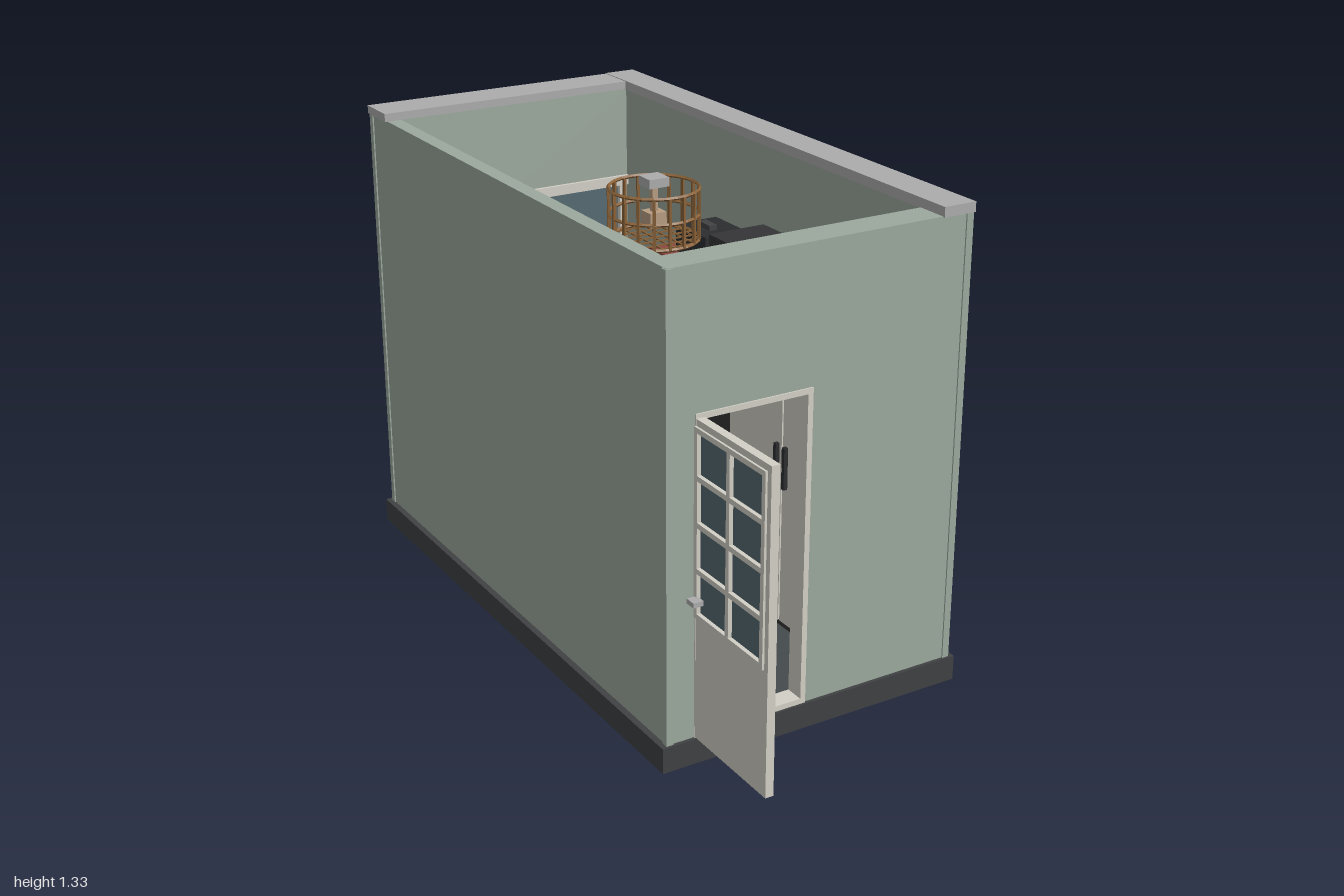
import * as THREE from 'three';

const C = {
  wall: 0x9ca99e, base: 0x3f4142, cap: 0xacacac, cream: 0xd3d0c6, glass: 0x566a72, sofa: 0x424244,
  tan: 0xb89d82, grey: 0x77777c, cloth: 0xb4b4b0, red: 0x8c4640, green: 0x3f8055, black: 0x2b2d2f,
  blue: 0x3d5a7d, amber: 0x8a6238, floorA: 0x454b4c, floorB: 0x3d4444, clay: 0xb07a5c, wardrobe: 0x343537,
};
const mats = {};
const mat = (c) => (mats[c] ??= new THREE.MeshStandardMaterial({ color: c, flatShading: true }));

export function createModel() {
  const root = new THREE.Group();
  root.name = 'smallOffice';
  const group = (name) => {
    const g = new THREE.Group();
    g.name = name;
    root.add(g);
    return g;
  };
  // box given by its limits on each axis
  const box = (parent, name, color, x0, x1, y0, y1, z0, z1) => {
    const m = new THREE.Mesh(new THREE.BoxGeometry(x1 - x0, y1 - y0, z1 - z0), mat(color));
    m.position.set((x0 + x1) / 2, (y0 + y1) / 2, (z0 + z1) / 2);
    m.name = name;
    parent.add(m);
    return m;
  };
  // wall in the xy plane with one rectangular opening
  const holedWall = (parent, name, hx0, hx1, hy0, hy1, z0, z1) => {
    const s = new THREE.Shape([[-0.432, 0.07], [0.432, 0.07], [0.432, 1.3], [-0.432, 1.3]].map((p) => new THREE.Vector2(...p)));
    s.holes.push(new THREE.Path([[hx0, hy0], [hx0, hy1], [hx1, hy1], [hx1, hy0]].map((p) => new THREE.Vector2(...p))));
    const m = new THREE.Mesh(new THREE.ExtrudeGeometry(s, { depth: z1 - z0, bevelEnabled: false }), mat(C.wall));
    m.position.z = z0;
    m.name = name;
    parent.add(m);
  };

  // base slab and floor planks
  const shell = group('shell');
  box(shell, 'baseSlab', C.base, -0.45, 0.45, 0, 0.07, -1, 0.69);
  for (let i = 0; i < 8; i++) {
    const z = -0.94 + i * 0.2;
    const split = i % 2 ? 0.12 : -0.12;
    const end = Math.min(z + 0.198, 0.64);
    box(shell, 'floorPlank', i % 2 ? C.floorA : C.floorB, -0.39, split - 0.001, 0.07, 0.078, z, end);
    box(shell, 'floorPlank', i % 2 ? C.floorB : C.floorA, split + 0.001, 0.39, 0.07, 0.078, z, end);
  }

  // walls, corner posts, baseboards, roof edge
  box(shell, 'rightSideWall', C.wall, -0.432, -0.39, 0.07, 1.3, -0.94, 0.635);
  box(shell, 'leftSideWall', C.wall, 0.39, 0.432, 0.07, 1.3, -0.94, 0.635);
  holedWall(shell, 'frontWall', -0.353, -0.025, 0.071, 0.933, 0.635, 0.68);
  holedWall(shell, 'backWall', -0.04, 0.38, 0.44, 0.995, -0.983, -0.94);
  box(shell, 'frontBeam', C.wall, -0.39, 0.39, 1.2, 1.3, 0.59, 0.635);
  for (const sx of [-1, 1]) {
    for (const z of [-0.976, 0.674]) {
      const p = box(shell, 'cornerPost', C.wall, -0.01, 0.01, 0.07, 1.299, -0.01, 0.01);
      p.position.x = sx * 0.426;
      p.position.z = z;
    }
    box(shell, 'baseboard', C.cream, sx > 0 ? 0.382 : -0.39, sx > 0 ? 0.39 : -0.382, 0.078, 0.11, -0.94, 0.635);
  }
  box(shell, 'backRoofEdge', C.cap, -0.44, 0.345, 1.3, 1.323, -0.987, -0.865);
  box(shell, 'sideRoofEdge', C.cap, 0.345, 0.44, 1.298, 1.325, -0.987, 0.685);

  // back window
  const win = group('backWindow');
  box(win, 'windowGlass', C.glass, -0.04, 0.38, 0.44, 0.995, -0.958, -0.95);
  box(win, 'windowSill', C.cream, -0.04, 0.38, 0.44, 0.46, -0.986, -0.935);
  box(win, 'windowJamb', C.cream, 0.362, 0.38, 0.46, 0.995, -0.982, -0.935);
  box(win, 'innerTrim', C.cream, -0.07, -0.04, 0.42, 1.0, -0.94, -0.93);
  box(win, 'innerTrim', C.cream, -0.07, 0.39, 0.98, 1.01, -0.94, -0.93);

  // door frame and open door
  const door = group('door');
  box(door, 'frameSide', C.cream, -0.355, -0.34, 0.075, 0.935, 0.63, 0.684);
  box(door, 'frameSide', C.cream, -0.04, -0.025, 0.075, 0.935, 0.63, 0.684);
  box(door, 'frameTop', C.cream, -0.355, -0.025, 0.92, 0.935, 0.63, 0.684);
  box(door, 'threshold', C.cream, -0.355, -0.025, 0.07, 0.085, 0.63, 0.684);
  box(door, 'doorPanel', C.cream, -0.355, -0.332, 0.073, 0.41, 0.685, 1);
  box(door, 'doorGlass', C.glass, -0.35, -0.334, 0.41, 0.905, 0.685, 0.975);
  box(door, 'doorTopRail', C.cream, -0.355, -0.332, 0.905, 0.925, 0.685, 1);
  box(door, 'doorStile', C.cream, -0.355, -0.332, 0.41, 0.905, 0.975, 1);
  for (let i = 0; i < 5; i++) {
    const y = 0.41 + i * 0.121;
    box(door, 'glazingBar', C.cream, -0.361, -0.349, y, y + 0.014, 0.685, 0.985);
  }
  for (const z of [0.685, 0.825, 0.971]) box(door, 'glazingBar', C.cream, -0.361, -0.349, 0.41, 0.905, z, z + 0.014);
  box(door, 'handle', C.cap, -0.383, -0.355, 0.455, 0.468, 0.69, 0.722);

  // sofa
  const sofa = group('sofa');
  box(sofa, 'sofaBase', C.sofa, -0.38, -0.1, 0.085, 0.215, -0.32, 0.38);
  box(sofa, 'sofaBack', C.sofa, -0.39, -0.335, 0.085, 0.58, -0.32, 0.385);
  for (const z of [-0.33, 0.335]) box(sofa, 'sofaArm', C.sofa, -0.385, -0.093, 0.215, 0.43, z, z + 0.055);
  for (const z of [-0.272, 0.034]) box(sofa, 'seatCushion', C.sofa, -0.335, -0.095, 0.215, 0.29, z, z + 0.298);
  for (const z of [-0.272, 0.034]) box(sofa, 'backCushion', C.sofa, -0.335, -0.24, 0.29, 0.5, z, z + 0.298);
  box(sofa, 'greyThrow', C.grey, -0.24, -0.055, 0.26, 0.3, -0.2, 0);
  box(sofa, 'blanketBottom', C.cloth, -0.24, -0.055, 0.29, 0.335, 0.075, 0.255);
  box(sofa, 'blanketTop', C.cloth, -0.238, -0.057, 0.335, 0.365, 0.11, 0.22);

  // desk with two screens
  const desk = group('desk');
  box(desk, 'deskTop', C.tan, -0.31, 0.32, 0.385, 0.41, -0.925, -0.615);
  for (const x of [-0.3, 0.285]) for (const z of [-0.915, -0.65]) box(desk, 'deskLeg', C.black, x, x + 0.025, 0.075, 0.385, z, z + 0.025);
  for (const x of [-0.183, 0.06]) {
    box(desk, 'screenFoot', C.black, x - 0.04, x + 0.04, 0.41, 0.417, -0.86, -0.81);
    box(desk, 'screenStem', C.black, x - 0.008, x + 0.008, 0.417, 0.53, -0.855, -0.842);
    box(desk, 'screenCase', C.black, x - 0.118, x + 0.118, 0.453, 0.605, -0.845, -0.833);
    box(desk, 'screen', C.blue, x - 0.112, x + 0.112, 0.461, 0.596, -0.834, -0.831);
  }

  // office chair facing the desk
  const chair = group('chair');
  box(chair, 'chairSeat', C.grey, -0.155, 0.05, 0.25, 0.29, -0.57, -0.38);
  box(chair, 'chairBack', C.grey, -0.155, 0.05, 0.29, 0.613, -0.39, -0.36);
  for (const x of [-0.168, 0.05]) {
    box(chair, 'armrest', C.grey, x, x + 0.013, 0.36, 0.378, -0.53, -0.38);
    box(chair, 'armrestPost', C.grey, x, x + 0.013, 0.26, 0.36, -0.48, -0.46);
  }
  box(chair, 'chairPost', C.black, -0.065, -0.04, 0.1, 0.25, -0.48, -0.455);
  for (const a of [0, Math.PI / 2]) {
    box(chair, 'chairFoot', C.black, -0.145, 0.04, 0.08, 0.1, -0.477, -0.458).rotation.y = a;
  }

  // wall shelves with books and plant
  const shelf = group('wallShelves');
  for (const y of [0.385, 0.51, 0.636]) box(shelf, 'shelfBoard', C.tan, -0.39, -0.275, y, y + 0.015, -0.49, -0.32);
  const books = [[C.red, 0.48], [C.cream, 0.62], [C.green, 0.725]];
  books.forEach(([c, top], level) => {
    const y = [0.4, 0.525, 0.651][level];
    for (let i = 0; i < 3; i++) {
      const z = -0.48 + i * 0.022;
      box(shelf, 'book', books[(i + level) % 3][0], -0.35, -0.28, y, top - i * 0.01, z, z + 0.018);
    }
    if (level < 2) box(shelf, 'bookStack', c, -0.37, -0.28, y, top, -0.4, -0.34);
  });
  box(shelf, 'plantPot', C.clay, -0.352, -0.306, 0.651, 0.693, -0.38, -0.335);
  box(shelf, 'plantLeaves', C.green, -0.36, -0.3, 0.71, 0.735, -0.385, -0.33);
  box(shelf, 'plantLeaves', C.green, -0.345, -0.295, 0.693, 0.76, -0.372, -0.322);

  // red cabinet, dark cabinet and wardrobe along the far side
  const storage = group('storage');
  box(storage, 'redCabinet', C.red, 0.2, 0.39, 0.078, 0.93, -0.485, -0.172);
  box(storage, 'appliance', C.black, 0.25, 0.385, 0.93, 1.01, -0.41, -0.25);
  box(storage, 'applianceKnob', C.sofa, 0.295, 0.32, 1.01, 1.025, -0.36, -0.3);
  box(storage, 'darkCabinet', C.wardrobe, 0.21, 0.39, 0.078, 1.05, -0.168, 0.06);
  box(storage, 'wardrobe', C.wardrobe, 0.14, 0.39, 0.078, 1.01, 0.07, 0.588);
  box(storage, 'wardrobeDoor', C.cream, 0.13, 0.14, 0.1, 0.995, 0.075, 0.327);
  box(storage, 'wardrobeDoor', C.cream, 0.13, 0.14, 0.1, 0.995, 0.333, 0.585);
  for (const z of [0.305, 0.345]) box(storage, 'wardrobeHandle', C.black, 0.118, 0.13, 0.5, 0.62, z, z + 0.012);

  // hanging cage lamp
  const lamp = group('lamp');
  lamp.position.set(0, 0, -0.11);
  const R = 0.122;
  for (const y of [1.09, 1.16, 1.23]) {
    const ring = new THREE.Mesh(new THREE.TorusGeometry(R, 0.005, 4, 24), mat(C.amber));
    ring.rotation.x = Math.PI / 2;
    ring.position.y = y;
    ring.name = 'lampRing';
    lamp.add(ring);
  }
  for (let i = 0; i < 18; i++) {
    const a = (i / 18) * Math.PI * 2;
    const bar = box(lamp, 'lampBar', C.amber, -0.004, 0.004, 1.09, 1.23, -0.004, 0.004);
    bar.position.x = R * Math.cos(a);
    bar.position.z = R * Math.sin(a);
    bar.rotation.y = -a;
  }
  for (let i = -3; i <= 3; i++) {
    const d = i * 0.033, h = Math.sqrt(R * R - d * d);
    box(lamp, 'lampGrid', C.amber, d - 0.002, d + 0.002, 1.088, 1.092, -h, h);
    box(lamp, 'lampGrid', C.amber, -h, h, 1.088, 1.092, d - 0.002, d + 0.002);
  }
  box(lamp, 'lampMount', C.cap, -0.03, 0.03, 1.235, 1.26, -0.03, 0.03);
  box(lamp, 'lampStem', C.tan, -0.008, 0.008, 1.16, 1.235, -0.008, 0.008);
  box(lamp, 'bulb', C.tan, -0.025, 0.025, 1.125, 1.165, -0.025, 0.025);
  return root;
}
